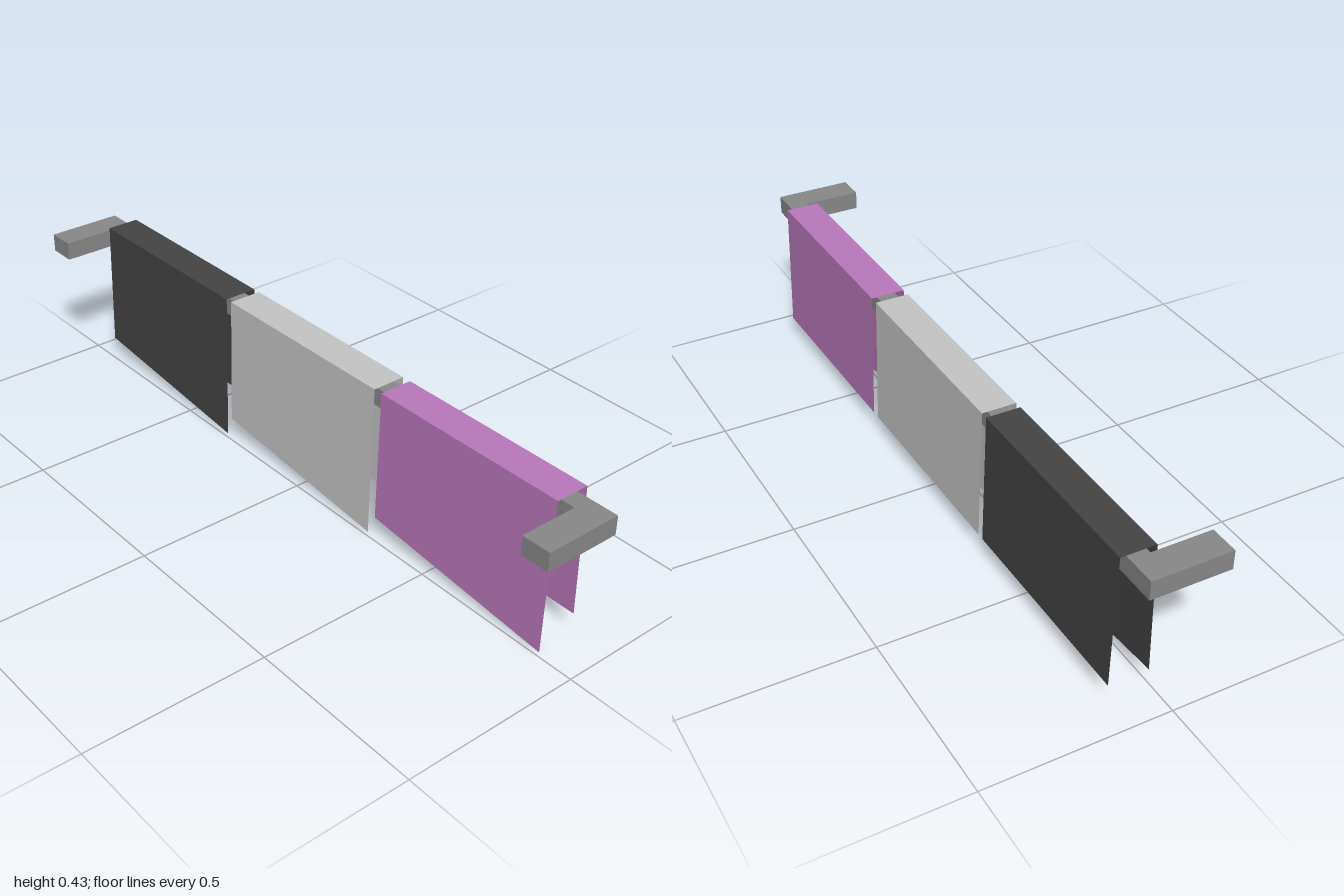
import * as THREE from 'three';

// Draped cloth cross-section: back hem, back fold, front fold, front hem
const TOP = 0.43;
const HEM = 0.06;
const FOLDS = [
  { z: -0.122, left: HEM, right: HEM },
  { z: -0.115, left: TOP, right: TOP },
  { z: -0.02, left: TOP, right: TOP },
  { z: -0.012, left: HEM, right: 0 }, // front hem slopes down
];

function towelGeometry(x0, x1) {
  const plane = new THREE.PlaneGeometry(1, 1, 1, FOLDS.length - 1);
  const pos = plane.attributes.position;
  FOLDS.forEach((f, i) => {
    pos.setXYZ(i * 2, x0, f.left, f.z);
    pos.setXYZ(i * 2 + 1, x1, f.right, f.z);
  });
  const geometry = plane.toNonIndexed(); // crisp folds
  geometry.computeVertexNormals();
  return geometry;
}

export function createModel() {
  const model = new THREE.Group();
  model.name = 'towelRack';

  const material = (name, color, side = THREE.FrontSide) => {
    const m = new THREE.MeshStandardMaterial({ color, side });
    m.name = name;
    return m;
  };
  const add = (name, geometry, mat, x = 0, y = 0, z = 0) => {
    const mesh = new THREE.Mesh(geometry, mat);
    mesh.name = name;
    mesh.position.set(x, y, z);
    model.add(mesh);
  };

  // Rail and the two arms reaching forward to the wall
  const metal = material('railGrey', 0x888888);
  add('rail', new THREE.BoxGeometry(1.84, 0.052, 0.052), metal, 0, 0.394, -0.067);
  for (const [side, s] of [['left', 1], ['right', -1]]) {
    add(side + 'Arm', new THREE.BoxGeometry(0.08, 0.052, 0.215), metal, s * 0.96, 0.394, 0.0145);
  }

  // Three towels folded over the rail
  const towels = [
    ['darkTowel', 0x444444, -0.915, -0.33],
    ['paleTowel', 0xc4c4c4, -0.31, 0.28],
    ['purpleTowel', 0xb978bb, 0.305, 0.89],
  ];
  for (const [name, color, x0, x1] of towels) {
    add(name, towelGeometry(x0, x1), material(name + 'Cloth', color, THREE.DoubleSide));
  }

  return model;
}
